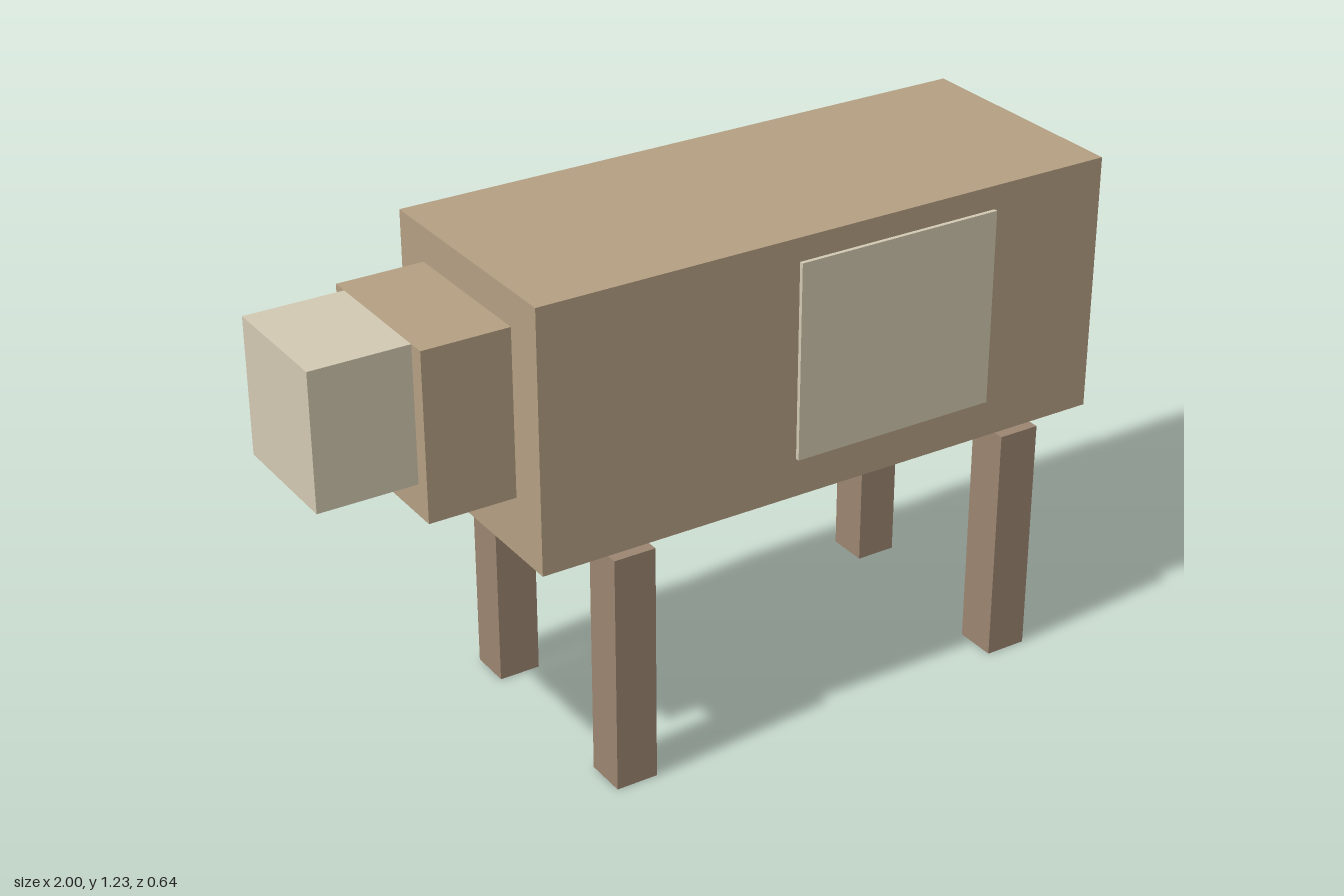
import * as THREE from 'three';

const hide = new THREE.MeshStandardMaterial({ color: 0xb49f82 });
const cream = new THREE.MeshStandardMaterial({ color: 0xd2c9b1 });
const brown = new THREE.MeshStandardMaterial({ color: 0x9b8571 });

export function createModel() {
  const model = new THREE.Group();

  // Box given by its minimum and maximum on each axis
  const addBox = (name, material, [x0, x1], [y0, y1], [z0, z1]) => {
    const mesh = new THREE.Mesh(new THREE.BoxGeometry(x1 - x0, y1 - y0, z1 - z0), material);
    mesh.position.set((x0 + x1) / 2, (y0 + y1) / 2, (z0 + z1) / 2);
    mesh.name = name;
    model.add(mesh);
  };

  // Trunk, neck block and pale muzzle, stepping down towards -x
  addBox('body', hide, [-0.555, 0.925], [0.597, 1.228], [-0.297, 0.297]);
  addBox('neck', hide, [-0.765, -0.555], [0.74, 1.143], [-0.192, 0.192]);
  addBox('muzzle', cream, [-1, -0.765], [0.817, 1.143], [-0.153, 0.153]);

  // Mirrored flank patches and legs
  for (const side of [1, -1]) {
    const span = (near, far) => (side > 0 ? [near, far] : [-far, -near]);
    const label = side > 0 ? 'front' : 'back';
    addBox(label + 'FlankPatch', cream, [0.095, 0.62], [0.692, 1.171], span(0.28, 0.307));
    addBox(label + 'HeadEndLeg', brown, [-0.392, -0.288], [0, 0.595], span(0.216, 0.321));
    addBox(label + 'TailEndLeg', brown, [0.66, 0.764], [0, 0.595], span(0.216, 0.321));
  }

  // Five-sided, smooth-shaded hanging tail
  const tail = new THREE.Mesh(new THREE.CylinderGeometry(0.048, 0.048, 0.526, 5), brown);
  tail.name = 'tail';
  tail.position.set(0.953, 0.692, 0);
  tail.rotation.y = Math.PI;
  model.add(tail);

  return model;
}
